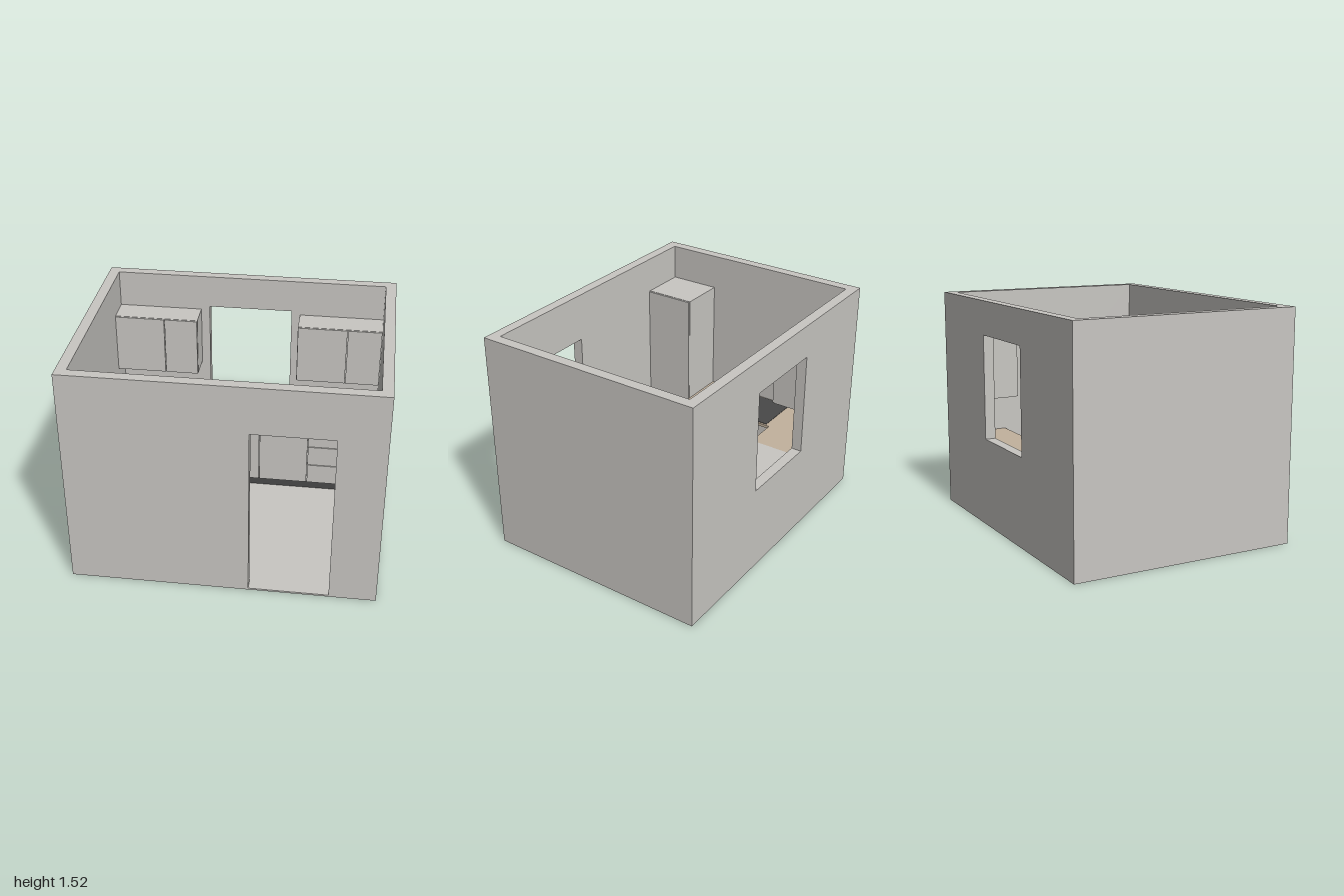
import * as THREE from 'three';

const mat = (name, color) => Object.assign(new THREE.MeshStandardMaterial({ color }), { name });

export function createModel() {
  const grey = mat('light grey', 0xc8c6c2);
  const wood = mat('wood', 0xc2b29d);
  const dark = mat('charcoal', 0x494949);

  const room = new THREE.Group();
  room.name = 'kitchenRoom';

  // Box given by its minimum and maximum corners
  function box(parent, name, m, [x0, y0, z0], [x1, y1, z1]) {
    const mesh = new THREE.Mesh(new THREE.BoxGeometry(x1 - x0, y1 - y0, z1 - z0), m);
    mesh.position.set((x0 + x1) / 2, (y0 + y1) / 2, (z0 + z1) / 2);
    mesh.name = name;
    parent.add(mesh);
    return mesh;
  }
  function group(name) {
    const g = new THREE.Group();
    g.name = name;
    room.add(g);
    return g;
  }

  const H = 1.525, X = 1, Z = 0.77, T = 0.07, F = 0.012;
  const ix = X - T, iz = Z - T;

  // Walls with one rectangular opening each at front and back
  function openWall(name, z, [x0, y0, x1, y1]) {
    const rect = (path, a, b, c, d) =>
      path.moveTo(a, b).lineTo(c, b).lineTo(c, d).lineTo(a, d).closePath();
    const shape = rect(new THREE.Shape(), -X, 0, X, H);
    shape.holes.push(rect(new THREE.Path(), x0, y0, x1, y1));
    const wall = new THREE.Mesh(
      new THREE.ExtrudeGeometry(shape, { depth: T, bevelEnabled: false }), grey);
    wall.position.z = z;
    wall.name = name;
    room.add(wall);
  }
  openWall('frontWallWithDoorway', iz, [0.172, F, 0.695, 1.205]);
  openWall('backWallWithWindow', -Z, [-0.29, 0.598, 0.29, 1.298]);
  box(room, 'leftWall', grey, [ix, 0, -iz], [X, H, iz]);
  box(room, 'rightWall', grey, [-X, 0, -iz], [-ix, H, iz]);
  box(room, 'floor', grey, [-ix, 0, -iz], [ix, F, iz]);

  const gap = 0.0025, D = 0.012;          // half seam and front thickness
  const kick = 0.075, top = 0.488, counterTop = 0.51;

  // Fronts facing +z, and fronts facing +x
  const frontZ = (g, name, x0, x1, y0, y1, z) =>
    box(g, name, grey, [x0 + gap, y0 + gap, z - D], [x1 - gap, y1 - gap, z]);
  const frontX = (g, name, z0, z1, y0, y1, x) =>
    box(g, name, grey, [x - D, y0 + gap, z0 + gap], [x, y1 - gap, z1 - gap]);

  // Back run of base cabinets
  const back = group('backBaseCabinets');
  const bz = -0.375;
  box(back, 'plinth', dark, [-ix, F, -iz], [ix, kick, bz - 0.025]);
  box(back, 'carcass', grey, [-ix, kick, -iz], [ix, top, bz - D]);
  const seams = [-0.598, -0.35, -0.12, 0.11, 0.46];
  for (let i = 0; i < seams.length - 1; i++)
    frontZ(back, 'cabinetDoor', seams[i], seams[i + 1], kick, top, bz);
  const levels = [kick, 0.23, 0.385, top];
  for (let i = 0; i < 3; i++)
    frontZ(back, 'drawerFront', 0.46, ix, levels[i], levels[i + 1], bz);

  // Side run of base cabinets
  const side = group('sideBaseCabinets');
  const sx = -0.6, end = 0.345;
  box(side, 'plinth', dark, [-ix, F, bz - 0.025], [sx - 0.025, kick, end]);
  box(side, 'carcass', grey, [-ix, kick, bz - D], [sx - D, top, end]);
  frontX(side, 'cabinetDoor', bz, -0.005, kick, top, sx);
  frontX(side, 'cabinetDoor', -0.005, end, kick, top, sx);

  // L-shaped worktop, drawn in plan and laid flat
  const plan = [[-ix, -iz], [-ix, end], [-0.582, end], [-0.582, -0.355], [ix, -0.355], [ix, -iz]];
  const topShape = new THREE.Shape(plan.map(([x, z]) => new THREE.Vector2(x, -z)));
  const worktop = new THREE.Mesh(
    new THREE.ExtrudeGeometry(topShape, { depth: counterTop - 0.49, bevelEnabled: false }), wood);
  worktop.rotation.x = -Math.PI / 2;
  worktop.position.y = 0.49;
  worktop.name = 'worktop';
  room.add(worktop);

  // Plates set on the worktop
  box(room, 'sink', grey, [-0.345, counterTop - 0.003, -0.665], [0.112, counterTop + 0.003, -0.388]);
  box(room, 'hob', dark, [-0.922, counterTop - 0.003, -0.325], [-0.597, counterTop + 0.003, -0.036]);

  // Wall cabinets either side of the window
  const uz = -0.503;
  for (const [name, a, b, c] of [
    ['rightWallCabinet', -ix, -0.582, -0.35],
    ['leftWallCabinet', 0.35, 0.694, ix]]) {
    const g = group(name);
    box(g, 'carcass', grey, [a, 0.856, -iz], [c, 1.273, uz - D]);
    frontZ(g, 'cabinetDoor', a, b, 0.856, 1.273, uz);
    frontZ(g, 'cabinetDoor', b, c, 0.856, 1.273, uz);
  }

  // Tall unit in the front corner
  const tall = group('tallUnit');
  box(tall, 'body', grey, [-ix, F, 0.348], [sx - D, 1.284, 0.697]);
  frontX(tall, 'lowerDoor', 0.348, 0.697, F, 0.49, sx);
  frontX(tall, 'upperDoor', 0.348, 0.697, 0.49, 1.284, sx);

  return room;
}
